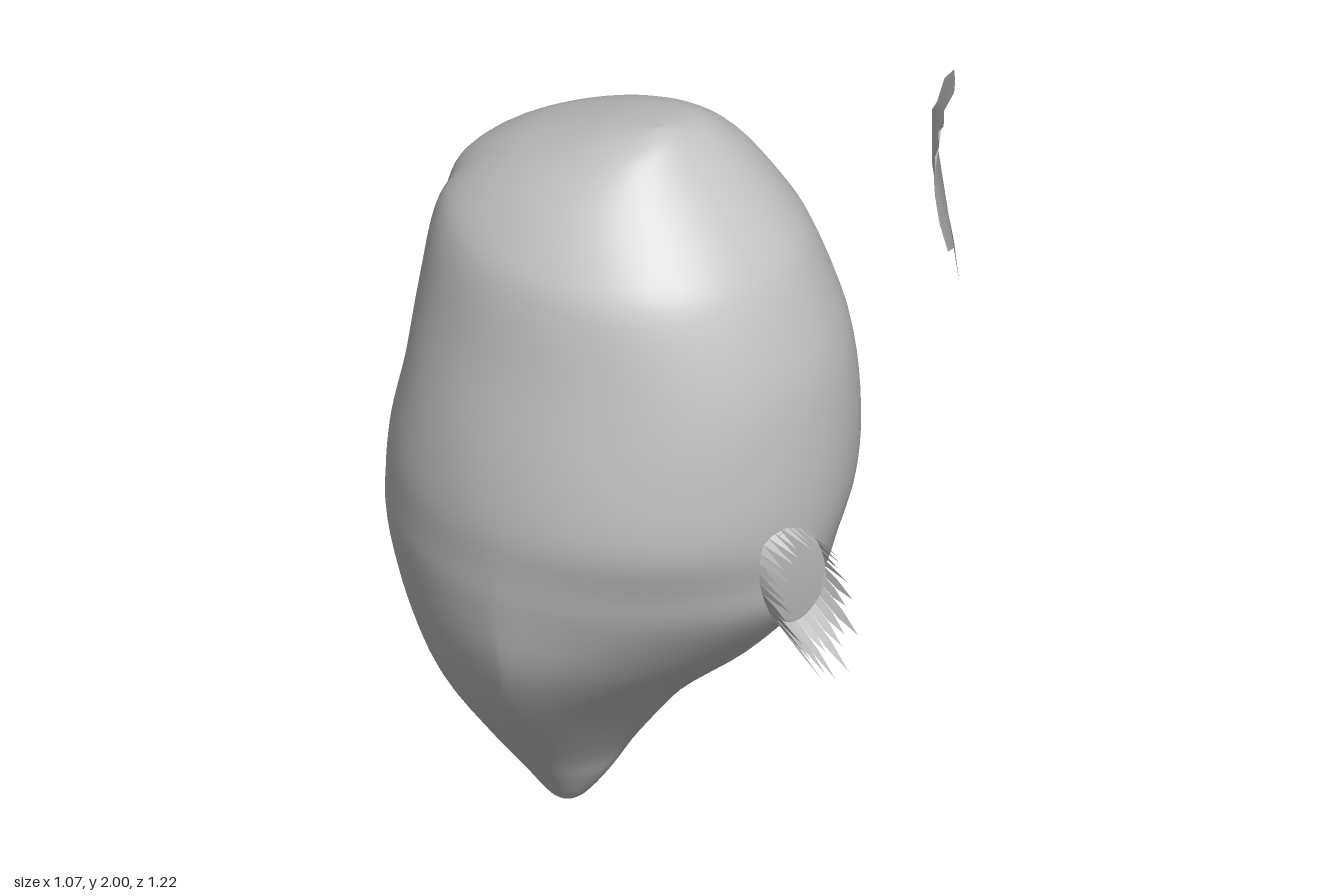
import * as THREE from 'three';
import { toCreasedNormals } from 'three/addons/utils/BufferGeometryUtils.js';

const grey = new THREE.MeshStandardMaterial({ color: 0xc4c4c4, side: THREE.DoubleSide });
grey.name = 'plain grey';

// Body sections: y, left x, right x, front z, back z, z of widest point, front fullness
const sections = [
  [0.0, -0.02, -0.02, -0.22, -0.22, -0.22, 2],
  [0.02, -0.06, 0.03, -0.18, -0.27, -0.22, 2],
  [0.1, -0.12, 0.1, -0.12, -0.355, -0.2, 1.8],
  [0.2, -0.2, 0.19, -0.06, -0.44, -0.18, 1.7],
  [0.4, -0.36, 0.33, 0.1, -0.535, -0.12, 1.6],
  [0.6, -0.465, 0.41, 0.32, -0.59, -0.05, 1.5],
  [0.78, -0.51, 0.43, 0.475, -0.62, -0.04, 1.6],
  [0.9, -0.525, 0.44, 0.51, -0.615, -0.03, 1.75],
  [1.03, -0.535, 0.445, 0.528, -0.595, -0.02, 2],
  [1.2, -0.52, 0.435, 0.53, -0.555, -0.02, 2.1],
  [1.4, -0.485, 0.4, 0.51, -0.525, -0.01, 2.1],
  [1.6, -0.45, 0.335, 0.44, -0.485, 0, 2.1],
  [1.7, -0.4, 0.285, 0.375, -0.43, 0, 2.1],
  [1.8, -0.32, 0.215, 0.28, -0.29, 0.02, 2],
  [1.88, -0.22, 0.11, 0.19, -0.1, 0.06, 2],
  [1.915, -0.14, 0, 0.145, 0.02, 0.09, 2],
  [1.93, -0.08, -0.08, 0.1, 0.1, 0.1, 2],
];
const spline = (a, b, c) => new THREE.CatmullRomCurve3(
  sections.map((s) => new THREE.Vector3(s[a], s[b], s[c])), false, 'catmullrom', 0.5);
const widths = spline(0, 1, 2), depths = spline(3, 4, 5), fullness = spline(0, 6, 6);
const bump = (x, y, cx, cy, rx, ry) => Math.exp(-(((x - cx) / rx) ** 2) - ((y - cy) / ry) ** 2);

// Point on the body skin: t runs bottom to top, a runs around
function skin(t, a) {
  const w = widths.getPoint(t), d = depths.getPoint(t);
  const c = Math.cos(a), s = Math.sin(a);
  const n = s > 0 ? fullness.getPoint(t).y : 2;
  const x = (w.y + w.z) / 2 + Math.max(0, w.z - w.y) / 2 * Math.sign(c) * Math.abs(c) ** (2 / n);
  let z = d.z + (s > 0 ? d.x - d.z : d.y - d.z) * Math.abs(s) ** (2 / n);
  // shallow grooves down the upper back and a crease low on the back
  if (s < 0) {
    z += -s * (0.025 * bump(x, w.x, 0.09, 1.6, 0.05, 0.16) + 0.018 * bump(x, w.x, -0.2, 1.6, 0.04, 0.16)
      + 0.012 * bump(x, w.x, -0.03, 1.2, 0.2, 0.08));
  }
  return [x, Math.max(0, w.x), z];
}

function bodyGeometry(rows = 64, cols = 72) {
  const pos = [], idx = [];
  for (let i = 0; i <= rows; i++) {
    for (let j = 0; j < cols; j++) pos.push(...skin(i / rows, j / cols * Math.PI * 2));
  }
  for (let i = 0; i < rows; i++) {
    for (let j = 0; j < cols; j++) {
      const a = i * cols + j, b = i * cols + (j + 1) % cols;
      idx.push(a, a + cols, b, b, a + cols, b + cols);
    }
  }
  const g = new THREE.BufferGeometry();
  g.setAttribute('position', new THREE.Float32BufferAttribute(pos, 3));
  g.setIndex(idx);
  g.computeVertexNormals();
  return g;
}

// Tilted oval rim on the front of the body
function rim(a, k = 1) {
  const u = 0.095 * k * Math.cos(a), v = 0.155 * k * Math.sin(a), tilt = 0.42;
  const x = -0.09 + u * Math.cos(tilt) - v * Math.sin(tilt);
  const y = 0.91 + u * Math.sin(tilt) + v * Math.cos(tilt);
  return [x, y, 0.505 + Math.min(0, y - 0.85) * 0.3];
}

// Ragged fringe: one tapering tooth after another around the rim
function fringeGeometry(teeth = 32) {
  const pos = [];
  for (let i = 0; i < teeth; i++) {
    const a0 = i / teeth * Math.PI * 2, a1 = (i + 1) / teeth * Math.PI * 2, m = (a0 + a1) / 2;
    const low = Math.max(0, -Math.sin(m + 0.25));
    const jag = 0.7 + 0.3 * Math.sin(i * 2.4);
    const p = rim(a0), q = rim(a1), e = rim(m);
    const out = [0.06 * low * jag, -0.03 - 0.14 * low * jag, 0.045 + 0.05 * jag];
    const mid = (r) => r.map((v, k) => v + out[k] * 0.55);
    const tip = e.map((v, k) => v + out[k]);
    const p2 = mid(p), q2 = mid(q);
    if (low > 0.1) pos.push(...p, ...p2, ...q, ...q, ...p2, ...q2, ...p2, ...tip, ...q2);
    else pos.push(...p, ...tip, ...q);
  }
  const g = new THREE.BufferGeometry();
  g.setAttribute('position', new THREE.Float32BufferAttribute(pos, 3));
  g.computeVertexNormals();
  return g;
}

// Smooth oval plate inside the fringe
function ovalGeometry() {
  const shape = new THREE.Shape();
  for (let i = 0; i < 32; i++) {
    const [x, y] = rim(i / 32 * Math.PI * 2, 0.96);
    if (i) shape.lineTo(x, y); else shape.moveTo(x, y);
  }
  const g = new THREE.ShapeGeometry(shape), p = g.attributes.position;
  for (let i = 0; i < p.count; i++) p.setZ(i, 0.525 + Math.min(0, p.getY(i) - 0.85) * 0.3);
  g.computeVertexNormals();
  return g;
}

// Flat outline bent into a shallow curved flake
function flakeGeometry(points) {
  const shape = new THREE.Shape(points.map(([x, y]) => new THREE.Vector2(x, y)));
  const g = new THREE.ShapeGeometry(shape), p = g.attributes.position;
  for (let i = 0; i < p.count; i++) {
    const x = p.getX(i), bend = Math.min(1.2, ((p.getY(i) - 1.77) / 0.23) ** 2);
    p.setZ(i, Math.min(0.58, 0.57 - 0.95 * (x - 0.34) + 0.07 * bend));
  }
  return toCreasedNormals(g, 0.9);
}

export function createModel() {
  const group = new THREE.Group();
  const add = (name, geometry) => {
    const mesh = new THREE.Mesh(geometry, grey);
    mesh.name = name;
    group.add(mesh);
  };
  add('body', bodyGeometry());
  add('ovalScar', ovalGeometry());
  add('raggedFringe', fringeGeometry());
  add('looseFlake', flakeGeometry([
    [0.4, 1.99], [0.43, 2], [0.465, 2], [0.485, 1.95], [0.47, 1.89], [0.5, 1.84], [0.49, 1.7],
    [0.47, 1.64], [0.465, 1.545], [0.44, 1.545], [0.375, 1.58], [0.355, 1.66], [0.34, 1.74],
    [0.365, 1.76], [0.345, 1.8], [0.37, 1.82], [0.345, 1.87], [0.385, 1.88], [0.36, 1.92], [0.4, 1.93],
  ]));
  add('flakeTip', flakeGeometry([[0.44, 1.54], [0.455, 1.45], [0.53, 1.56], [0.47, 1.54]]));
  return group;
}
